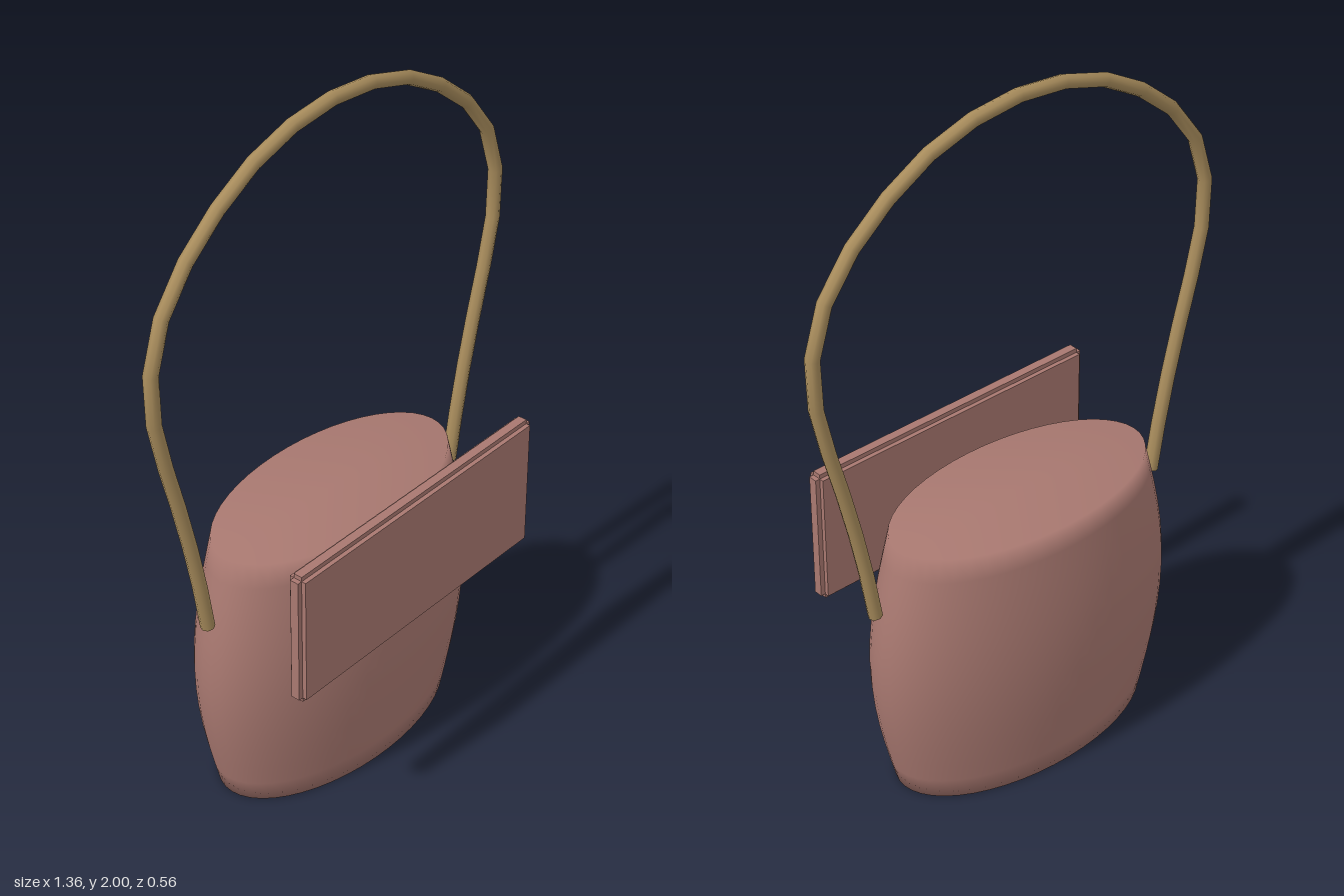
import * as THREE from 'three';

const CENTER_Z = -0.035;

export function createModel() {
  const group = new THREE.Group();
  const leather = new THREE.MeshStandardMaterial({ color: 0xa87870, side: THREE.DoubleSide });
  const strap = new THREE.MeshStandardMaterial({ color: 0xa88c5c, side: THREE.DoubleSide });

  const add = (name, geometry, material, parent = group) => {
    const mesh = new THREE.Mesh(geometry, material);
    mesh.name = name;
    parent.add(mesh);
    return mesh;
  };

  // Body: a closed barrel, bulging at mid height and flattened front to back
  const height = 0.81, steps = 12;
  const profile = [new THREE.Vector2(0, 0)];
  for (let i = 0; i <= steps; i++) {
    const t = i / steps;
    profile.push(new THREE.Vector2(0.42 + 0.07 * Math.sin(Math.PI * t), height * t));
  }
  profile.push(new THREE.Vector2(0, height));
  const body = add('body', new THREE.LatheGeometry(profile, 48), leather);
  body.scale.z = 0.5;
  body.position.z = CENTER_Z;

  // Front flap: three crossed slabs give the stepped edge
  const flap = new THREE.Group();
  flap.name = 'flap';
  flap.position.set(0, 0.718, 0.25);
  group.add(flap);
  const slabs = [
    ['flapWideSlab', 0.94, 0.38, 0.026],
    ['flapTallSlab', 0.912, 0.406, 0.026],
    ['flapThickSlab', 0.912, 0.38, 0.052],
  ];
  for (const [name, w, h, d] of slabs) add(name, new THREE.BoxGeometry(w, h, d), leather, flap);

  // Handle: one half of the arch, mirrored across the middle
  const half = [
    [0.497, 0.635], [0.525, 0.8], [0.555, 0.94], [0.592, 1.09], [0.63, 1.23], [0.66, 1.375],
    [0.66, 1.51], [0.62, 1.635], [0.54, 1.745], [0.43, 1.84], [0.293, 1.92], [0.15, 1.965],
  ];
  const points = [
    ...half.map(([x, y]) => new THREE.Vector3(-x, y, CENTER_Z + 0.005)),
    new THREE.Vector3(0, 1.98, CENTER_Z + 0.005),
    ...half.slice().reverse().map(([x, y]) => new THREE.Vector3(x, y, CENTER_Z + 0.005)),
  ];
  add('handle', new THREE.TubeGeometry(new THREE.CatmullRomCurve3(points), 24, 0.02, 8), strap);

  return group;
}
